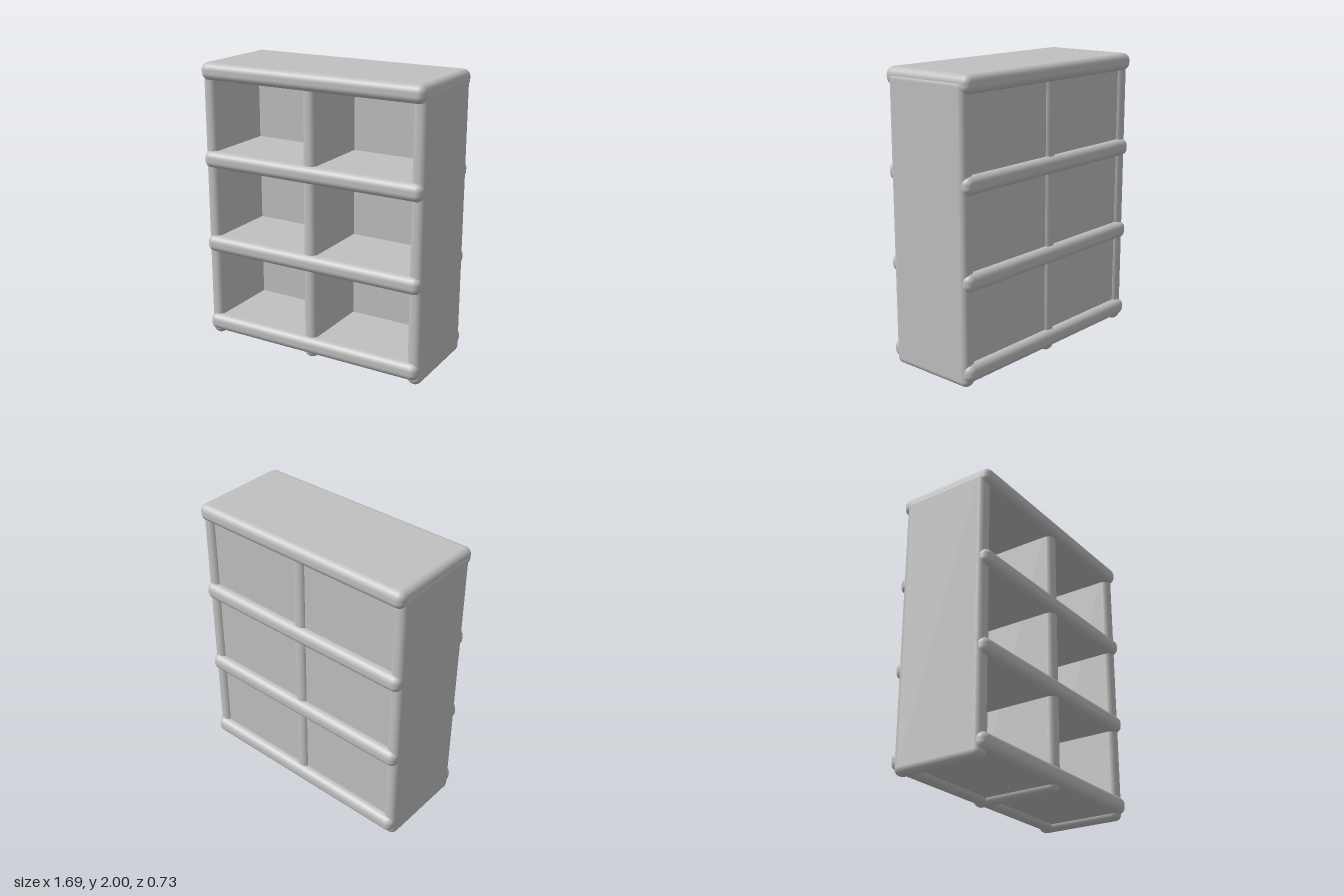
import * as THREE from 'three';
import { RoundedBoxGeometry } from 'three/addons/geometries/RoundedBoxGeometry.js';

export function createModel() {
  const group = new THREE.Group();
  group.name = 'shelvingUnit';
  const grey = new THREE.MeshStandardMaterial({ color: 0xc0c0c0 });
  grey.name = 'light grey';

  // Soft-edged board, placed by its centre
  const board = (name, [w, h, d], [x, y, z], radius) => {
    const mesh = new THREE.Mesh(new RoundedBoxGeometry(w, h, d, 6, radius), grey);
    mesh.name = name;
    mesh.position.set(x, y, z);
    group.add(mesh);
  };

  // Uprights: two sides and the middle divider
  const height = 1.97;
  [['rightSide', -0.795], ['divider', 0], ['leftSide', 0.795]].forEach(([name, x]) =>
    board(name, [0.1, height, 0.66], [x, height / 2, 0], 0.045));

  // Shelves, proud of the uprights at front and back
  [['bottomShelf', 0.1], ['lowerShelf', 0.705], ['upperShelf', 1.325], ['topShelf', 1.94]]
    .forEach(([name, y]) => board(name, [1.68, 0.12, 0.73], [0, y, 0], 0.05));

  // Back panel, slightly recessed behind the uprights
  board('backPanel', [1.62, height - 0.01, 0.105], [0, height / 2, -0.255], 0.045);

  return group;
}
